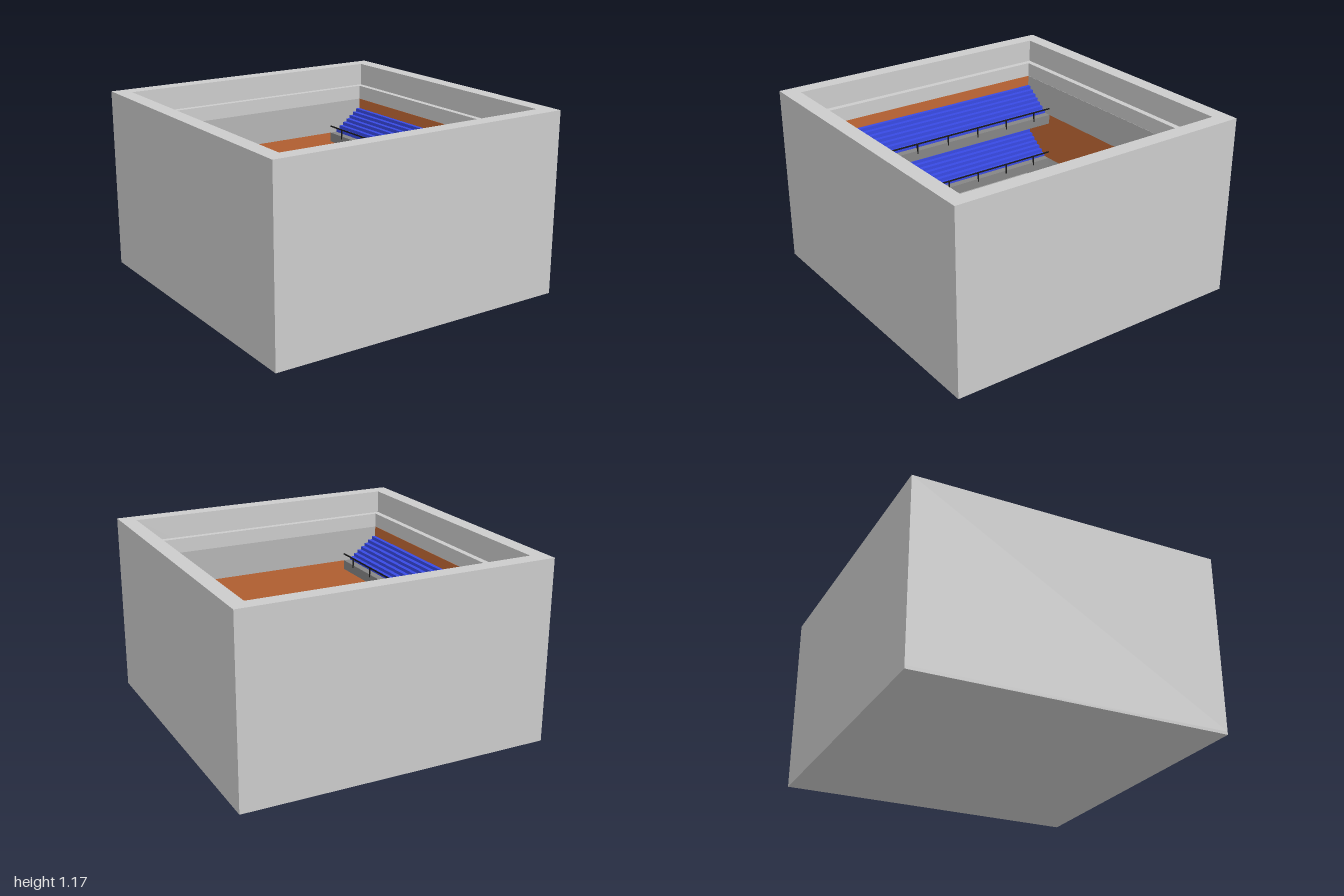
import * as THREE from 'three';

const mat = (color) => new THREE.MeshStandardMaterial({ color });
const grey = mat(0xcccccc);
const panelGrey = mat(0xb4b4b4);
const concrete = mat(0x858585);
const wood = mat(0xc26835);
const teal = mat(0x588fac);
const blue = mat(0x384ae4);
const black = mat(0x181818);

const FLOOR = 0.035;   // ground floor level
const STOREY = 0.335;  // height between seating levels
const INNER = 0.86;    // half width of the hall

function box(parent, name, material, x0, x1, y0, y1, z0, z1) {
  const mesh = new THREE.Mesh(new THREE.BoxGeometry(x1 - x0, y1 - y0, z1 - z0), material);
  mesh.position.set((x0 + x1) / 2, (y0 + y1) / 2, (z0 + z1) / 2);
  mesh.name = name;
  parent.add(mesh);
  return mesh;
}

function rectPath(target, hx, hz) {
  target.moveTo(-hx, -hz);
  target.lineTo(hx, -hz);
  target.lineTo(hx, hz);
  target.lineTo(-hx, hz);
  target.closePath();
  return target;
}

// Rectangular ring lying flat, between two heights
function ring(parent, name, material, outer, holeX, holeZ, y0, y1) {
  const shape = rectPath(new THREE.Shape(), outer, outer);
  shape.holes.push(rectPath(new THREE.Path(), holeX, holeZ));
  const geo = new THREE.ExtrudeGeometry(shape, { depth: y1 - y0, bevelEnabled: false });
  geo.rotateX(-Math.PI / 2);
  const mesh = new THREE.Mesh(geo, material);
  mesh.position.y = y0;
  mesh.name = name;
  parent.add(mesh);
}

// One level of seating on the +x side, with its walkway at height y
function seatingTier(y) {
  const tier = new THREE.Group();
  tier.name = 'seatingTier';
  const end = INNER - 0.002;
  box(tier, 'walkwaySlab', concrete, 0.605, INNER, y - 0.065, y, -end, end);

  // Stepped rows of seats
  const rows = 7, start = 0.655, depth = (INNER - start) / rows, rise = 0.0215;
  for (let i = 0; i < rows; i++) {
    const x = start + i * depth;
    box(tier, 'seatRow', blue, x, x + depth, y, y + (i + 1) * rise, -end, end);
  }

  // Railing along the walkway edge
  box(tier, 'handRail', black, 0.602, 0.61, y + 0.044, y + 0.052, -end, end);
  for (let i = -3; i <= 3; i++) {
    const z = i * 0.24;
    box(tier, 'railPost', black, 0.602, 0.61, y - 0.02, y + 0.044, z - 0.004, z + 0.004);
  }
  return tier;
}

export function createModel() {
  const model = new THREE.Group();
  model.name = 'sportsHall';

  // Outer shell, ledge and base
  box(model, 'base', grey, -1, 1, 0, 0.02, -1, 1);
  ring(model, 'outerWalls', grey, 1, 0.9, 0.9, 0.02, 1.17);
  ring(model, 'innerLedge', grey, 0.9, INNER, INNER, 0.02, 1.02);

  // Playing floor: coloured border around a plain court
  ring(model, 'floorBorder', teal, INNER, 0.48, 0.725, 0.02, FLOOR);
  box(model, 'court', grey, -0.48, 0.48, 0.02, FLOOR, -0.725, 0.725);

  const level1 = FLOOR + STOREY;
  const level2 = level1 + STOREY;

  // Each half turn repeats one side stand and one end wall
  for (const angle of [0, Math.PI]) {
    const half = new THREE.Group();
    half.name = 'hallHalf';
    half.rotation.y = angle;

    const t = INNER - 0.002;
    box(half, 'sideLowerPanel', panelGrey, t, INNER, FLOOR, level1, -t, t);
    box(half, 'sideWoodPanel', wood, t, INNER, level1, 0.925, -t, t);
    box(half, 'endLowerPanel', panelGrey, -t, t, FLOOR, level1, t, INNER);
    box(half, 'endWoodPanel', wood, -t, t, level1, level2, t, INNER);
    box(half, 'endUpperPanel', panelGrey, -t, t, level2, 0.925, t, INNER);

    half.add(seatingTier(level1), seatingTier(level2));
    model.add(half);
  }
  return model;
}
